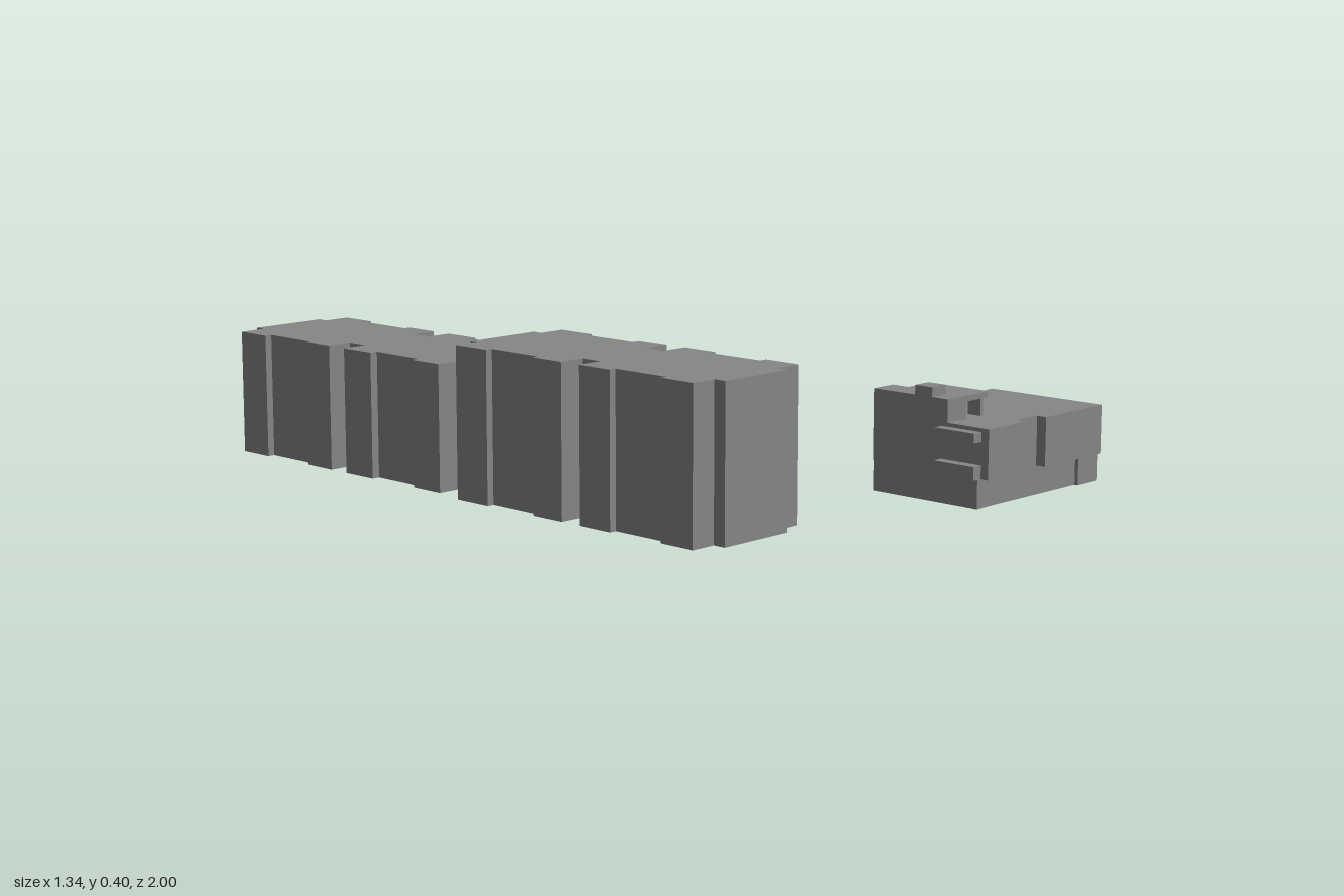
import * as THREE from 'three';
import { mergeGeometries } from 'three/addons/utils/BufferGeometryUtils.js';

const material = new THREE.MeshStandardMaterial({
  color: 0x868686, flatShading: true, side: THREE.DoubleSide,
});

// Upright hollow prism over a plan of [x, z] corners, with a roof and optional underside.
function prism(name, plan, y0, y1, underside = false) {
  let pts = plan.map(([x, z]) => new THREE.Vector2(x, -z));
  if (THREE.ShapeUtils.isClockWise(pts)) pts = pts.reverse();

  const cap = (y, flip) => {
    const g = new THREE.ShapeGeometry(new THREE.Shape(pts));
    if (flip) g.setIndex([...g.index.array].reverse());
    const flat = g.toNonIndexed().rotateX(-Math.PI / 2).translate(0, y, 0);
    return new THREE.BufferGeometry().setAttribute('position', flat.attributes.position);
  };

  const walls = [];
  pts.forEach((a, i) => {
    const b = pts[(i + 1) % pts.length];
    const a0 = [a.x, y0, -a.y], a1 = [a.x, y1, -a.y];
    const b0 = [b.x, y0, -b.y], b1 = [b.x, y1, -b.y];
    walls.push(...a0, ...b0, ...b1, ...a0, ...b1, ...a1);
  });
  const sides = new THREE.BufferGeometry()
    .setAttribute('position', new THREE.Float32BufferAttribute(walls, 3));

  const parts = [sides, cap(y1, false)];
  if (underside) parts.push(cap(y0, true));
  const geometry = mergeGeometries(parts);
  geometry.computeVertexNormals();
  const mesh = new THREE.Mesh(geometry, material);
  mesh.name = name;
  return mesh;
}

// Box given by its limits on each axis.
function box(name, x0, x1, y0, y1, z0, z1) {
  const mesh = new THREE.Mesh(new THREE.BoxGeometry(x1 - x0, y1 - y0, z1 - z0), material);
  mesh.position.set((x0 + x1) / 2, (y0 + y1) / 2, (z0 + z1) / 2);
  mesh.name = name;
  return mesh;
}

// Plan of a block from slices along z: [z start, low x, high x].
function slicedPlan(slices, zEnd) {
  const high = [], low = [];
  slices.forEach(([z, l, h], i) => {
    const next = i + 1 < slices.length ? slices[i + 1][0] : zEnd;
    high.push([h, z], [h, next]);
    low.push([l, z], [l, next]);
  });
  return [...high, ...low.reverse()];
}

export function createModel() {
  const model = new THREE.Group();

  // Long terrace: two stepped blocks with projecting bays
  const terrace = new THREE.Group();
  terrace.name = 'terrace';
  terrace.add(
    prism('rearBlock', slicedPlan([
      [-1, -0.594, -0.37], [-0.97, -0.67, -0.294], [-0.865, -0.65, -0.314],
      [-0.695, -0.667, -0.294], [-0.592, -0.595, -0.368], [-0.53, -0.667, -0.294],
      [-0.422, -0.645, -0.31], [-0.255, -0.665, -0.29], [-0.153, -0.592, -0.366],
    ], -0.115), 0.007, 0.345),
    prism('frontBlock', slicedPlan([
      [-0.113, -0.59, -0.366], [-0.085, -0.665, -0.29], [0.028, -0.645, -0.308],
      [0.197, -0.663, -0.288], [0.298, -0.588, -0.364], [0.36, -0.662, -0.288],
      [0.467, -0.642, -0.308], [0.635, -0.66, -0.286], [0.742, -0.587, -0.363],
    ], 0.777), 0, 0.402),
  );

  // Small house: open-bottomed base under an overhanging upper floor
  const house = new THREE.Group();
  house.name = 'house';
  house.add(
    prism('base', [
      [0.148, 0.962], [0.57, 0.962], [0.57, 0.972], [0.658, 0.972], [0.658, 0.9],
      [0.65, 0.9], [0.65, 0.685], [0.37, 0.685], [0.37, 0.73], [0.225, 0.73],
      [0.225, 0.627], [0.148, 0.627],
    ], 0.005, 0.085),
    prism('upperFloor', [
      [0.148, 0.998], [0.297, 0.998], [0.297, 0.97], [0.387, 0.97], [0.387, 0.998],
      [0.635, 0.998], [0.635, 0.642], [0.285, 0.648],
      [0.285, 0.677], [0.225, 0.677], [0.225, 0.625], [0.148, 0.625],
    ], 0.085, 0.215, true),
  );

  // Rooftop stair room with a covered corner and chimney
  house.add(
    prism('stairRoom', [
      [0.148, 0.865], [0.225, 0.865], [0.225, 0.79], [0.316, 0.79],
      [0.316, 0.677], [0.225, 0.677], [0.225, 0.625], [0.148, 0.625],
    ], 0.215, 0.26),
    prism('stairRoomRoof', [
      [0.148, 0.865], [0.316, 0.865], [0.316, 0.677],
      [0.225, 0.677], [0.225, 0.625], [0.148, 0.625],
    ], 0.26, 0.275, true),
    box('porchPost', 0.283, 0.298, 0.215, 0.26, 0.825, 0.865),
    box('chimney', 0.148, 0.203, 0.275, 0.3, 0.76, 0.815),
  );

  // Balcony on the right end: parapet and canopy
  for (const [name, y0, y1] of [['balconyParapet', 0.085, 0.12], ['balconyCanopy', 0.18, 0.205]]) {
    house.add(box(name, 0.118, 0.148, y0, y1, 0.847, 0.972));
  }

  // Bay on the left end, with a window opening near the front
  house.add(
    box('bayWall', 0.635, 0.667, 0.085, 0.205, 0.682, 0.865),
    box('baySill', 0.635, 0.667, 0.085, 0.125, 0.865, 0.972),
    box('bayLintel', 0.635, 0.66, 0.183, 0.205, 0.865, 0.972),
    box('bayJamb', 0.635, 0.66, 0.125, 0.183, 0.964, 0.972),
  );

  model.add(terrace, house);
  return model;
}
